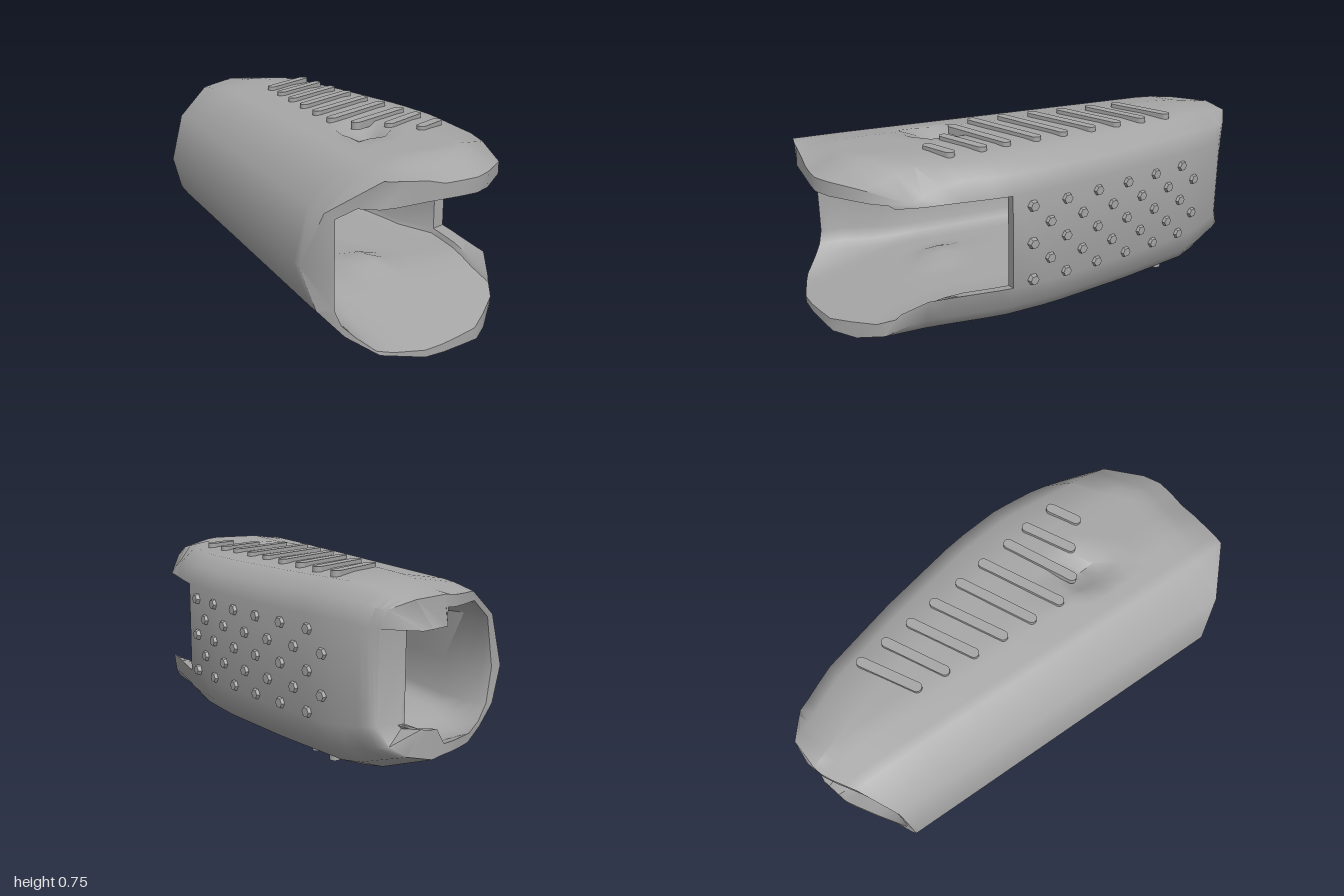
import * as THREE from 'three';
import { toCreasedNormals } from 'three/addons/utils/BufferGeometryUtils.js';

// piecewise-linear curve through [position, value] pairs
const curve = (pts) => (t) => {
  if (t <= pts[0][0]) return pts[0][1];
  for (let i = 1; i < pts.length; i++) {
    const [a, va] = pts[i - 1], [b, vb] = pts[i];
    if (t <= b) return va + (vb - va) * (t - a) / (b - a);
  }
  return pts[pts.length - 1][1];
};

// outer side edges along z, and rounded end outlines across x
const leftEdge = curve([[-0.8, -0.44], [0.75, -0.49]]);
const rightEdge = curve([[-1, 0.19], [-0.87, 0.23], [-0.7, 0.3], [-0.35, 0.385], [0, 0.45], [0.2, 0.475], [0.3, 0.473], [0.6, 0.44]]);
const frontEnd = curve([[-0.49, 0.75], [-0.44, 0.82], [-0.27, 0.96], [-0.1, 1], [0, 0.99], [0.17, 0.95], [0.35, 0.8], [0.44, 0.62]]);
const backEnd = curve([[-0.44, -0.8], [-0.35, -0.82], [-0.1, -0.97], [0.03, -1], [0.12, -0.98], [0.23, -0.87], [0.3, -0.7]]);
// changes of wall thickness along z: left wall, right wall, and the flared back mouth
const leftThickness = curve([[-0.8, 0.04], [0.5, 0.08], [0.78, 0]]);
const rightThickness = curve([[-0.9, 0.02], [0.1, 0.01], [0.27, -0.05]]);
const backFlare = curve([[-0.85, 0.6], [-0.6, 0]]);
const CUT = 0.27; // the right wall is open in front of this

// cross-section from the top of the right wall, over the top and left, to its bottom:
// [edge, outer offset, outer y, inner offset, inner y]
const TOP = [['R', 0, 0.6, -0.1, 0.59], ['R', -0.02, 0.68, -0.11, 0.605], ['R', -0.1, 0.73, -0.15, 0.61], ['R', -0.24, 0.74, -0.24, 0.61]];
const LEFT = [['L', 0.4, 0.738, 0.4, 0.61], ['L', 0.22, 0.71, 0.15, 0.605], ['L', 0.06, 0.58, 0.09, 0.56], ['L', 0, 0.36, 0.09, 0.36],
  ['L', 0.04, 0.2, 0.09, 0.21], ['L', 0.12, 0.11, 0.11, 0.175], ['L', 0.22, 0.05, 0.15, 0.16], ['L', 0.39, 0.02, 0.39, 0.16]];
const BOTTOM = [['R', -0.18, 0.004, -0.2, 0.16], ['R', -0.08, 0.04, -0.15, 0.16], ['R', -0.03, 0.1, -0.11, 0.17], ['R', 0, 0.2, -0.1, 0.19]];

function section(z, inner) {
  const L = leftEdge(z), R = rightEdge(z);
  const place = ([edge, outX, outY, inX, inY]) => {
    const base = edge === 'R' ? R : L;
    if (!inner) return [base + outX, outY];
    if (edge === 'R') return [base + inX - (inX > -0.18 ? rightThickness(z) : 0), inY];
    const x = inX + (inX < 0.3 ? leftThickness(z) : 0), f = backFlare(z);
    return [base + x + (outX - x) * f, inY + (outY - inY) * f];
  };
  const between = (a, b) => [0.25, 0.5, 0.75].map((t) => [a[0] + (b[0] - a[0]) * t, a[1] + (b[1] - a[1]) * t]);
  const top = TOP.map(place), left = LEFT.map(place), bottom = BOTTOM.map(place);
  const ring = [...top, ...between(top[3], left[0]), left[0], ...between(left[0], left[1]), ...left.slice(1, 7),
    ...between(left[6], left[7]), left[7], ...between(left[7], bottom[0]), ...bottom];
  return ring.map(([x, y]) => {
    const upper = y > 0.37;
    const front = Math.min(frontEnd(x), upper ? 0.965 : 1);
    let zz = Math.max(backEnd(x), Math.min(front, z));
    if (y > 0.17 && y < 0.6) zz = Math.max(zz, -0.9);
    // the shell curls in towards the back
    if (zz < -0.75) {
      const k = (-0.75 - zz) / 0.25;
      y = 0.37 + (y - 0.37) * (1 - k * (upper ? 0.1 : 0.27));
    }
    // bevelled upper lip, and floor sloping down to the lower lip
    const ramp = Math.min(1, Math.max(0, (x + 0.27) / 0.25));
    if (!inner && y > 0.65) y -= 0.07 * ramp * Math.max(0, 1 - (front - zz) / 0.14);
    if (inner && y < 0.2) y -= 0.1 * Math.min(1, Math.max(0, (x + 0.42) / 0.15)) * Math.max(0, (zz - 0.5) / 0.45);
    // pinched dents above and below, pushed through the wall
    const dent = Math.max(0, 1 - Math.hypot((x + 0.03) / 0.1, (zz - 0.4) / 0.14));
    y += dent * 0.09 * (upper ? -1 : 1) * (inner ? 0.5 : 1);
    return [x, y, zz];
  });
}

function shellGeometry() {
  const stations = [-1, -0.95, -0.9, -0.85, -0.78, -0.7, -0.6, -0.35, -0.15, 0, 0.1, CUT, 0.34, 0.4, 0.46, 0.54, 0.62, 0.7, 0.76, 0.82, 0.87, 0.92, 0.96, 1];
  const outer = stations.map((z) => section(z, false));
  const inner = stations.map((z) => section(z, true));
  const n = outer[0].length, last = stations.length - 1, cut = stations.indexOf(CUT);
  const pos = [];
  const quad = (a, b, c, d) => pos.push(...a, ...b, ...c, ...a, ...c, ...d);
  for (let j = 0; j < last; j++) {
    for (let i = 0; i < n; i++) {
      const k = (i + 1) % n;
      if (k === 0 && j >= cut) continue;
      quad(outer[j][i], outer[j][k], outer[j + 1][k], outer[j + 1][i]);
      quad(inner[j][i], inner[j + 1][i], inner[j + 1][k], inner[j][k]);
    }
    // lips of the side opening
    if (j >= cut) {
      const m = n - 1;
      quad(outer[j][0], outer[j + 1][0], inner[j + 1][0], inner[j][0]);
      quad(outer[j][m], inner[j][m], inner[j + 1][m], outer[j + 1][m]);
    }
  }
  // end rims
  for (let i = 0; i < n; i++) {
    const k = (i + 1) % n, f = k === 0 ? cut : last;
    quad(outer[f][i], outer[f][k], inner[f][k], inner[f][i]);
    quad(outer[0][i], inner[0][i], inner[0][k], outer[0][k]);
  }
  const g = new THREE.BufferGeometry();
  g.setAttribute('position', new THREE.Float32BufferAttribute(pos, 3));
  return toCreasedNormals(g, 0.85);
}

// flat bar with round ends, lying along x
function ridgeGeometry(length, thickness) {
  const r = 0.021, h = length / 2 - r;
  const s = new THREE.Shape();
  s.absarc(h, 0, r, -Math.PI / 2, Math.PI / 2);
  s.absarc(-h, 0, r, Math.PI / 2, Math.PI * 1.5);
  const g = new THREE.ExtrudeGeometry(s, { depth: thickness, bevelEnabled: false, curveSegments: 5 });
  return g.translate(0, 0, -thickness / 2).rotateX(-Math.PI / 2);
}

export function createModel() {
  const model = new THREE.Group();
  model.name = 'gripSleeve';
  const grey = new THREE.MeshStandardMaterial({ color: 0xa6a6a6, side: THREE.DoubleSide });
  grey.name = 'grey';
  const add = (parent, name, geometry) => {
    const m = new THREE.Mesh(geometry, grey);
    m.name = name;
    parent.add(m);
    return m;
  };
  add(model, 'shell', shellGeometry());

  // slanted grip ridges on top and bottom: x0, z0, x1, z1
  const ridges = [[-0.05, -0.46, 0.21, -0.6], [-0.06, -0.33, 0.22, -0.47], [-0.07, -0.19, 0.23, -0.34],
    [-0.08, -0.05, 0.245, -0.21], [-0.09, 0.09, 0.255, -0.07], [-0.095, 0.23, 0.27, 0.06],
    [-0.04, 0.34, 0.28, 0.2], [0.07, 0.42, 0.295, 0.31], [0.16, 0.52, 0.305, 0.45]];
  for (const [name, y] of [['topRidges', 0.739], ['bottomRidges', 0.018]]) {
    const group = new THREE.Group();
    group.name = name;
    model.add(group);
    for (const [x0, z0, x1, z1] of ridges) {
      const m = add(group, 'ridge', ridgeGeometry(Math.hypot(x1 - x0, z1 - z0), 0.032));
      m.position.set((x0 + x1) / 2, y, (z0 + z1) / 2);
      m.rotation.y = Math.atan2(z0 - z1, x1 - x0);
    }
  }

  // staggered studs on the right wall
  const studs = new THREE.Group();
  studs.name = 'sideStuds';
  model.add(studs);
  const stud = toCreasedNormals(new THREE.CylinderGeometry(0.02, 0.028, 0.026, 6).rotateZ(-Math.PI / 2), 0.5);
  for (let row = 0; row < 5; row++) {
    for (let col = 0; col < 6; col++) {
      const z = 0.18 - col * 0.158 - (row % 2) * 0.08;
      const m = add(studs, 'stud', stud);
      m.position.set(rightEdge(z), 0.545 - row * 0.081, z);
      m.rotation.y = Math.atan((rightEdge(z + 0.02) - rightEdge(z - 0.02)) / 0.04);
    }
  }
  return model;
}
